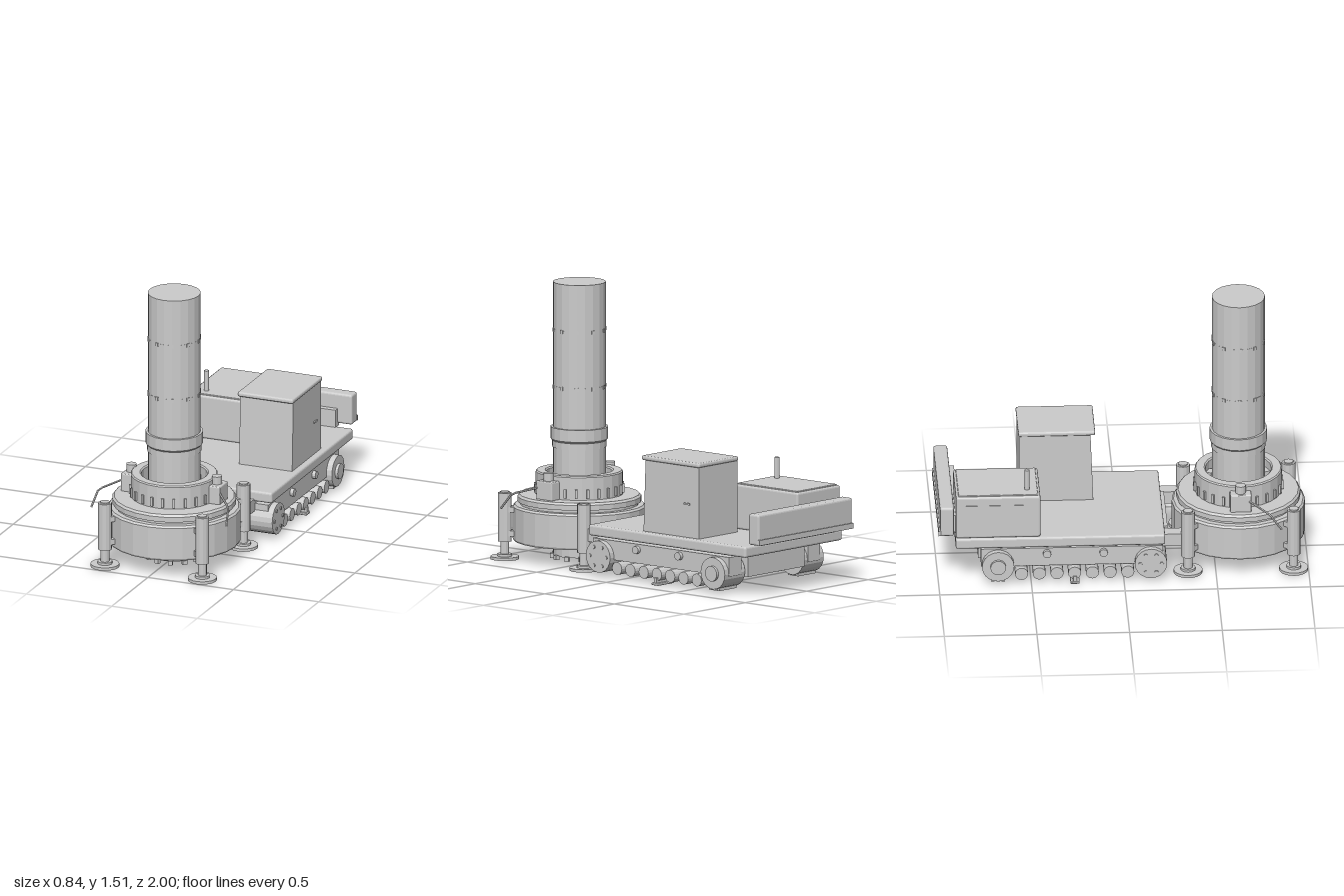
import * as THREE from 'three';
import { RoundedBoxGeometry } from 'three/addons/geometries/RoundedBoxGeometry.js';

const mat = new THREE.MeshStandardMaterial({ color: 0xcccccc, flatShading: true });
const RING_Z = 0.635;

export function createModel() {
  const root = new THREE.Group();

  const add = (parent, name, geo, x = 0, y = 0, z = 0) => {
    const m = new THREE.Mesh(geo, mat);
    m.name = name;
    m.position.set(x, y, z);
    parent.add(m);
    return m;
  };
  const group = (name, x = 0, y = 0, z = 0) => {
    const g = new THREE.Group();
    g.name = name;
    g.position.set(x, y, z);
    root.add(g);
    return g;
  };
  const box = (w, h, d) => new THREE.BoxGeometry(w, h, d);
  const rbox = (w, h, d, r = 0.01) => new RoundedBoxGeometry(w, h, d, 2, r);
  const cyl = (r, h, n = 16, r2 = r) => new THREE.CylinderGeometry(r2, r, h, n);
  const axle = (r, w, n = 20) => cyl(r, w, n).rotateZ(Math.PI / 2);
  const lathe = (pts, n = 24) => new THREE.LatheGeometry(pts.map(p => new THREE.Vector2(...p)), n);
  // repeat a small box around the vertical axis
  const around = (parent, name, n, r, y, w, h, d) => {
    for (let i = 0; i < n; i++) {
      const a = ((i + 0.5) / n) * Math.PI * 2;
      const m = add(parent, name, box(w, h, d), Math.sin(a) * r, y, Math.cos(a) * r);
      m.rotation.y = a;
    }
  };

  // Drill casing: long tube, joint bands, collar and cutting teeth
  const casing = group('casing', 0, 0, RING_Z);
  add(casing, 'casingTube', cyl(0.143, 1.49, 20), 0, 0.775, 0);
  for (const y of [0.95, 1.26]) {
    add(casing, 'casingJoint', cyl(0.1435, 0.012, 20), 0, y, 0);
    around(casing, 'jointBolt', 10, 0.143, y, 0.018, 0.02, 0.008);
  }
  add(casing, 'casingCollar', lathe([[0.14, 0.62], [0.147, 0.62], [0.147, 0.655], [0.156, 0.665],
    [0.156, 0.73], [0.14, 0.73]], 20));
  around(casing, 'cuttingTooth', 12, 0.148, 0.024, 0.025, 0.024, 0.022);

  // Rotator: hollow base, flange and ribbed clamping drum
  const rotator = group('rotator', 0, 0, RING_Z);
  add(rotator, 'rotatorBase', lathe([[0.196, 0.11], [0.355, 0.11], [0.36, 0.12], [0.36, 0.295],
    [0.35, 0.306], [0.32, 0.306], [0.32, 0.322], [0.335, 0.322], [0.335, 0.35], [0.325, 0.362],
    [0.196, 0.362], [0.196, 0.11]]));
  add(rotator, 'clampDrum', lathe([[0.178, 0.34], [0.236, 0.34], [0.236, 0.485], [0.23, 0.492],
    [0.185, 0.492], [0.178, 0.485], [0.178, 0.34]]));
  around(rotator, 'drumRib', 24, 0.237, 0.395, 0.014, 0.05, 0.014);
  around(rotator, 'clampJaw', 8, 0.164, 0.4, 0.05, 0.08, 0.036);

  for (const s of [-1, 1]) {
    // Drive motors with a bent hose on each side
    add(rotator, 'driveMotor', rbox(0.08, 0.105, 0.115, 0.008), s * 0.25, 0.41, 0);
    add(rotator, 'motorCap', cyl(0.028, 0.045, 12), s * 0.25, 0.483, 0);
    const path = new THREE.CurvePath();
    const p = [[0.28, 0.425, 0.04], [0.38, 0.39, 0.15], [0.395, 0.305, 0.215]]
      .map(([x, y, z]) => new THREE.Vector3(s * x, y, z));
    path.add(new THREE.LineCurve3(p[0], p[1]));
    path.add(new THREE.LineCurve3(p[1], p[2]));
    add(rotator, 'controlArm', new THREE.TubeGeometry(path, 8, 0.006, 6));

    // Support jacks
    for (const t of [-1, 1]) {
      const jack = group('supportJack', s * 0.285, 0, RING_Z + t * 0.285);
      add(jack, 'jackFoot', cyl(0.078, 0.016, 20), 0, 0.016, 0);
      add(jack, 'jackFootHub', cyl(0.04, 0.014, 12), 0, 0.03, 0);
      add(jack, 'jackRod', cyl(0.024, 0.1, 12), 0, 0.07, 0);
      add(jack, 'jackSleeve', cyl(0.037, 0.265, 12), 0, 0.2375, 0);
      add(jack, 'jackCap', cyl(0.026, 0.01, 12), 0, 0.372, 0);
      for (const y of [0.15, 0.28]) {
        const b = add(jack, 'jackBracket', box(0.06, 0.03, 0.09), -s * 0.025, y, -t * 0.025);
        b.rotation.y = s * t * Math.PI / 4;
      }
    }
    // Arms joining the rotator to the carrier
    add(root, 'linkArm', box(0.075, 0.07, 0.18), s * 0.255, 0.205, 0.24);
  }

  // Carrier: chassis and deck
  const carrier = group('carrier');
  add(carrier, 'chassis', box(0.46, 0.13, 1.01), 0, 0.155, -0.275);
  add(carrier, 'frontPlate', box(0.42, 0.1, 0.03), 0, 0.2, 0.228);
  add(carrier, 'deck', rbox(0.79, 0.06, 1.13, 0.012), 0, 0.257, -0.343);
  add(carrier, 'counterweight', rbox(0.765, 0.17, 0.075, 0.012), 0, 0.385, -0.955);
  add(carrier, 'counterweightMount', box(0.6, 0.1, 0.05), 0, 0.335, -0.91);
  add(carrier, 'rearRail', box(0.765, 0.03, 0.012), 0, 0.318, -0.994);

  // Engine housing with side vents and exhaust
  add(carrier, 'engineHousing', rbox(0.35, 0.245, 0.455, 0.012), -0.207, 0.407, -0.678);
  add(carrier, 'engineLid', rbox(0.325, 0.012, 0.43, 0.005), -0.207, 0.53, -0.678);
  for (let i = 0; i < 3; i++) add(carrier, 'engineVent', box(0.006, 0.16, 0.1), -0.382, 0.4, -0.54 - i * 0.135);
  add(carrier, 'exhaustPipe', cyl(0.014, 0.13, 12), -0.3, 0.585, -0.52);

  // Cabin leaning back slightly at the front
  const cabGeo = box(0.31, 0.39, 0.4);
  const cp = cabGeo.attributes.position;
  for (let i = 0; i < cp.count; i++) if (cp.getY(i) > 0 && cp.getZ(i) > 0) cp.setZ(i, 0.185);
  cabGeo.computeVertexNormals();
  add(carrier, 'cabin', cabGeo, 0.205, 0.482, -0.345);
  add(carrier, 'cabinRoof', rbox(0.325, 0.026, 0.415, 0.01), 0.205, 0.688, -0.342);
  add(carrier, 'doorHandle', box(0.008, 0.01, 0.04), 0.363, 0.47, -0.46);

  // Running gear on both sides
  for (const s of [-1, 1]) {
    const gear = group('runningGear', s * 0.32, 0, 0);
    add(gear, 'sideFrame', box(0.1, 0.105, 0.98), 0, 0.16, -0.28);
    for (const z of [0.145, -0.68]) add(gear, 'endWheel', axle(0.087, 0.165), 0, 0.12, z);
    for (let i = 0; i < 6; i++) {
      const a = (i / 6) * Math.PI * 2;
      add(gear, 'wheelBolt', axle(0.01, 0.01, 8), s * 0.083, 0.12 + Math.sin(a) * 0.058, 0.145 + Math.cos(a) * 0.058);
    }
    add(gear, 'driveHub', axle(0.042, 0.03), s * 0.083, 0.12, -0.68);
    for (let i = -1; i <= 1; i++) add(gear, 'driveTooth', box(0.14, 0.02, 0.018), 0, 0.036, -0.68 + i * 0.028);
    for (let i = 0; i < 7; i++) add(gear, 'trackRoller', axle(0.035, 0.14, 16), 0, 0.068, 0.02 - i * 0.0955);
    for (const z of [-0.11, -0.415]) add(gear, 'topRoller', axle(0.022, 0.14, 12), 0, 0.182, z);
    // Hanging step below the middle roller
    add(gear, 'stepPost', box(0.1, 0.04, 0.02), s * 0.03, 0.03, -0.265);
    add(gear, 'step', rbox(0.13, 0.014, 0.05, 0.005), s * 0.02, 0.015, -0.265);
  }

  return root;
}
